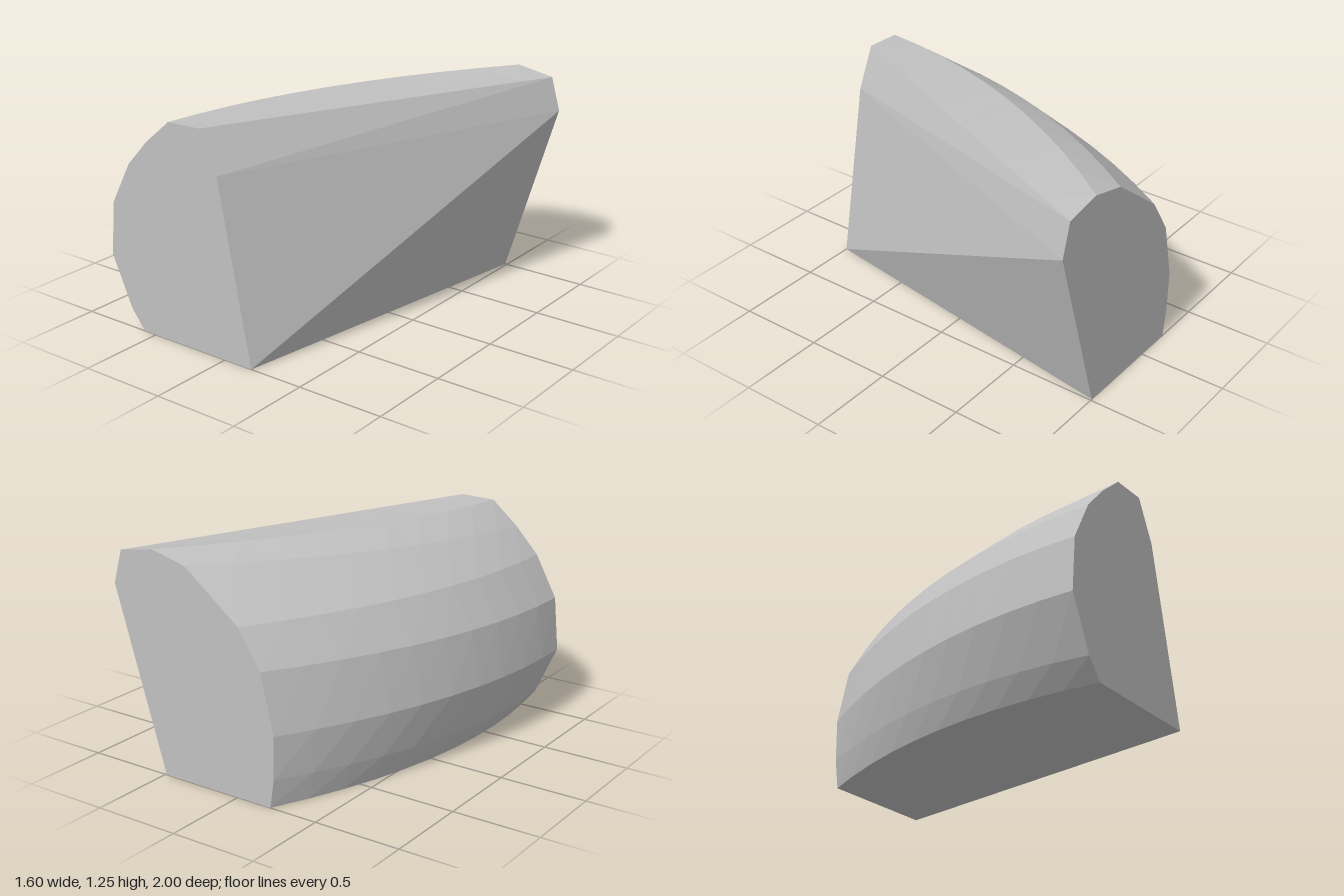
import * as THREE from 'three';

// End outlines, clockwise from the lower outer corner
const FRONT = [[-0.58, 0], [-0.67, 0.11], [-0.8, 0.4], [-0.77, 0.71], [-0.64, 0.95],
  [-0.5, 1.1], [-0.34, 1.235], [-0.13, 1.24], [-0.02, 1.01], [0.18, 0]];
const BACK = [[-0.215, 0], [-0.24, 0.16], [-0.245, 0.4], [-0.167, 0.73], [-0.03, 0.94],
  [0.31, 1.2], [0.526, 1.253], [0.745, 1.215], [0.8, 1.025], [0.49, 0]];
const BULGE = 0.163;
const LAST_CURVED = 6; // outline points after this one run straight from end to end

// Point i of the outline at depth z; the curved side swells outward in the middle
function pointAt(i, z) {
  const t = (1 - z) / 2;
  const [fx, fy] = FRONT[i], [bx, by] = BACK[i];
  const swell = i <= LAST_CURVED ? BULGE * (1 - z * z) : 0;
  return [fx + (bx - fx) * t - swell, fy + (by - fy) * t, z];
}

// Faceted strips between neighbouring outline points
function strips(from, to, segments) {
  const pos = [];
  for (let i = from; i < to; i++) {
    const a = i % FRONT.length, b = (i + 1) % FRONT.length;
    for (let s = 0; s < segments; s++) {
      const z0 = 1 - (2 * s) / segments, z1 = 1 - (2 * (s + 1)) / segments;
      const fa = pointAt(a, z0), fb = pointAt(b, z0), ba = pointAt(a, z1), bb = pointAt(b, z1);
      pos.push(...fa, ...fb, ...ba, ...fb, ...bb, ...ba);
    }
  }
  return facets(pos);
}

// Flat end face as a fan
function cap(z) {
  const pos = [];
  for (let i = 1; i < FRONT.length - 1; i++) {
    const p = pointAt(i, z), q = pointAt(i + 1, z);
    pos.push(...pointAt(0, z), ...(z > 0 ? q : p), ...(z > 0 ? p : q));
  }
  return facets(pos);
}

function facets(pos) {
  const g = new THREE.BufferGeometry();
  g.setAttribute('position', new THREE.Float32BufferAttribute(pos, 3));
  g.computeVertexNormals(); // unshared corners give flat facets
  return g;
}

export function createModel() {
  const group = new THREE.Group();
  group.name = 'curvedBlock';
  const grey = new THREE.MeshStandardMaterial({ color: 0xc0c0c0 });
  grey.name = 'grey';
  const add = (name, geometry) => {
    const mesh = new THREE.Mesh(geometry, grey);
    mesh.name = name;
    group.add(mesh);
  };

  add('bulgingSideAndTop', strips(0, 7, 10));
  add('flatSide', strips(7, 9, 1));
  add('base', strips(9, 10, 10));
  add('frontFace', cap(1));
  add('backFace', cap(-1));
  return group;
}
